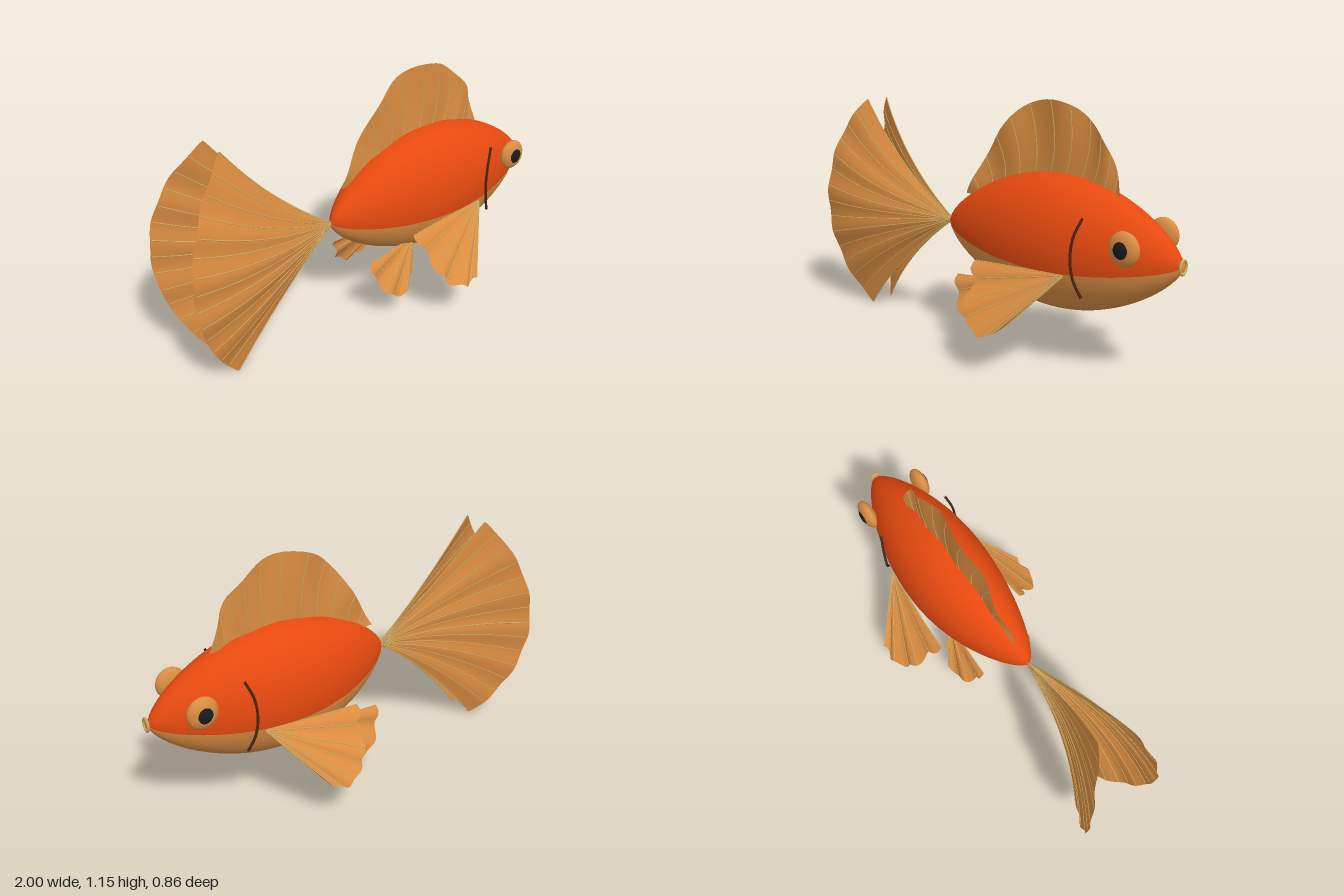
import * as THREE from 'three';
import { ParametricGeometry } from 'three/addons/geometries/ParametricGeometry.js';

const { sin, cos, PI } = Math;
const V = (x, y, z) => new THREE.Vector3(x, y, z);
const mat = (name, color, side = THREE.FrontSide) => {
  const m = new THREE.MeshStandardMaterial({ color, side });
  m.name = name;
  return m;
};

export function createModel() {
  const orange = mat('body orange', 0xe6490f);
  const tan = mat('belly tan', 0xd98d42);
  const finTan = mat('fin tan', 0xda8c40, THREE.DoubleSide);
  const pale = mat('pale ray', 0xcfab62);
  const dark = mat('pupil black', 0x1b1b1f);
  const brown = mat('gill brown', 0x4a2412);

  const fish = new THREE.Group();
  fish.name = 'fish';
  const add = (name, geo, material, parent = fish) => {
    const m = new THREE.Mesh(geo, material);
    m.name = name;
    parent.add(m);
    return m;
  };

  // Body: elliptical sections along x, the spine bending slightly toward the tail
  const spineZ = (x) => 0.045 * Math.max(0, (0.4 - x) / 0.64) ** 2;
  const skin = (from, to, segs) => new ParametricGeometry((u, v, p) => {
    const t = 0.002 + 0.996 * u;
    const x = -0.24 + 1.23 * t;
    const r = sin(PI * t) ** 0.65;
    const a = from + (to - from) * v;
    p.set(x, 0.555 + 0.3 * r * sin(a), spineZ(x) + 0.21 * r * cos(a));
  }, 64, segs);
  const seam = 0.285;
  add('upperBody', skin(-seam, PI + seam, 40), orange);
  add('belly', skin(PI + seam, 2 * PI - seam, 28), tan);

  // A fin is a membrane over point(s, u): s runs root to rim, u across; rays follow s
  const addFin = (name, point, rays, radius = 0.0025) => {
    const group = new THREE.Group();
    group.name = name;
    fish.add(group);
    add('membrane', new ParametricGeometry((u, v, p) => p.copy(point(v, u)), 56, 20), finTan, group);
    for (let i = 0; i < rays; i++) {
      const u = i / (rays - 1);
      const pts = [];
      for (let k = 0; k <= 10; k++) pts.push(point(0.02 + 0.97 * k / 10, u));
      add('ray', new THREE.TubeGeometry(new THREE.CatmullRomCurve3(pts), 20, radius, 5), pale, group);
    }
  };

  // Tail: two fans opening to either side
  const tailLobe = (sweep) => (s, u) => {
    const w = 2 * u - 1;
    const a = w * (0.6 + 0.17 * s);
    const z = sweep(s, w) + 0.006 * s * sin(w * 17);
    return V(-0.23 - 0.77 * s * cos(a), 0.555 + 0.77 * s * sin(a), z);
  };
  addFin('rightTailLobe', tailLobe((s, w) => 0.04 - 0.24 * s ** 2.2 * (1 - 0.66 * w * w)), 15);
  addFin('leftTailLobe', tailLobe((s, w) => 0.05 + 0.14 * sin(1.98 * s) * (1 - 0.75 * w * w)), 15);

  // Dorsal fin: rippled sail with its flat base buried in the back
  const dorsalRim = new THREE.CatmullRomCurve3([
    [-0.165, 0.69], [-0.107, 0.79], [-0.03, 0.915], [0.064, 1.04], [0.17, 1.13], [0.315, 1.167],
    [0.44, 1.145], [0.545, 1.07], [0.61, 1.0], [0.65, 0.91], [0.685, 0.79],
  ].map(([x, y]) => V(x, y, 0)));
  addFin('dorsalFin', (s, u) => {
    const p = V(-0.165 + 0.84 * u, 0.69, 0).lerp(dorsalRim.getPoint(u), s);
    p.x += 0.05 * sin(PI * s) * sin(PI * u);
    p.z = 0.6 * spineZ(p.x) + 0.011 * s * sin(u * 26) - 0.004;
    return p;
  }, 13);

  // Paired fins: fans from a root point to a scalloped rim, leaning outward
  const pairedFin = (root, rim, lean, side) => {
    const curve = new THREE.CatmullRomCurve3(rim.map(([x, y]) => V(x, y, 0)));
    return (s, u) => {
      const edge = curve.getPoint(u);
      const reach = s * (1 + 0.025 * sin(u * 30) * s);
      const x = root[0] + (edge.x - root[0]) * reach;
      const y = root[1] + (edge.y - root[1]) * reach;
      const z = root[2] + lean * (root[1] - y) + 0.02 * s * (1 - u) + 0.01 * s * sin(u * 24);
      return V(x, y, side * z + spineZ(x) * 0.7);
    };
  };
  const pectoralRim = [[0.09, 0.46], [0.125, 0.38], [0.145, 0.29], [0.2, 0.235], [0.28, 0.207], [0.335, 0.222], [0.38, 0.26]];
  const pelvicRim = [[-0.1, 0.335], [-0.08, 0.255], [-0.03, 0.175], [0.045, 0.138], [0.1, 0.16], [0.14, 0.215], [0.165, 0.27]];

  for (const side of [1, -1]) {
    const label = side > 0 ? 'left' : 'right';
    addFin(label + 'PectoralFin', pairedFin([0.55, 0.475, 0.198], pectoralRim, 0.82, side), 8);
    addFin(label + 'PelvicFin', pairedFin([0.2, 0.35, 0.105], pelvicRim, 0.45, side), 8, 0.002);

    // Eyes
    const eye = add(label + 'Eye', new THREE.SphereGeometry(1, 32, 20), tan);
    eye.scale.set(0.071, 0.074, 0.034);
    eye.position.set(0.807, 0.628, side * 0.151);
    const pupil = add(label + 'Pupil', new THREE.SphereGeometry(1, 28, 16), dark);
    pupil.scale.set(0.043, 0.046, 0.022);
    pupil.position.set(0.807, 0.628, side * 0.167);

    // Gill arcs
    const arc = new THREE.CatmullRomCurve3([
      [0.625, 0.73, 0.18], [0.594, 0.65, 0.198], [0.583, 0.56, 0.203], [0.594, 0.47, 0.198], [0.625, 0.39, 0.18],
    ].map(([x, y, z]) => V(x, y, side * z)));
    add(label + 'Gill', new THREE.TubeGeometry(arc, 28, 0.006, 8), brown);
  }

  // Mouth: pale lip ring around a shallow tan centre
  const lip = add('lip', new THREE.TorusGeometry(0.024, 0.006, 10, 28), pale);
  lip.rotation.y = PI / 2;
  lip.scale.y = 1.2;
  lip.position.set(0.992, 0.557, 0.006);
  const mouth = add('mouth', new THREE.SphereGeometry(1, 20, 12), tan);
  mouth.scale.set(0.008, 0.027, 0.022);
  mouth.position.set(0.987, 0.557, 0.006);

  return fish;
}
